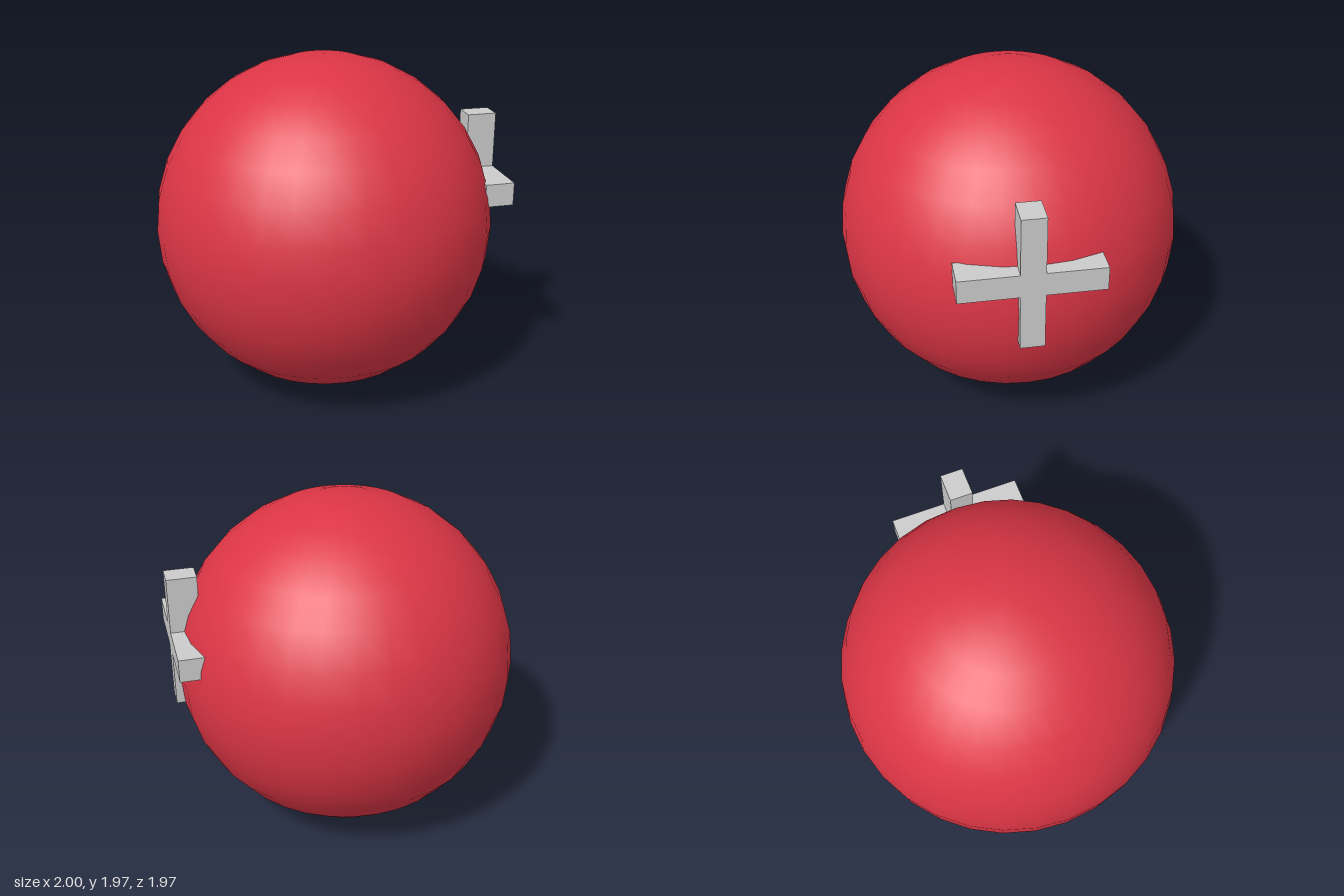
import * as THREE from 'three';

// Outline of a plus sign with equal arms
function plusShape(reach, half) {
  const shape = new THREE.Shape();
  const corner = [[half, reach], [half, half], [reach, half]];
  const points = [];
  for (let i = 0; i < 4; i++) {
    const a = -i * Math.PI / 2;
    for (const [x, y] of corner) {
      points.push(new THREE.Vector2(x, y).rotateAround(new THREE.Vector2(), a));
    }
  }
  return shape.setFromPoints(points.reverse());
}

export function createModel() {
  const group = new THREE.Group();
  group.name = 'ballWithCross';

  // Smooth red ball
  const ball = new THREE.Mesh(
    new THREE.SphereGeometry(0.985, 32, 16),
    new THREE.MeshStandardMaterial({ color: 0xdc3545 })
  );
  ball.name = 'ball';
  ball.position.set(-0.015, 0.985, 0);
  group.add(ball);

  // Grey cross sunk into the left side
  const cross = new THREE.Mesh(
    new THREE.ExtrudeGeometry(plusShape(0.392, 0.067), { depth: 0.17, bevelEnabled: false }),
    new THREE.MeshStandardMaterial({ color: 0xcccccc })
  );
  cross.name = 'cross';
  cross.rotation.y = Math.PI / 2;
  cross.position.set(0.83, 1.197, 0.04);
  group.add(cross);

  return group;
}
